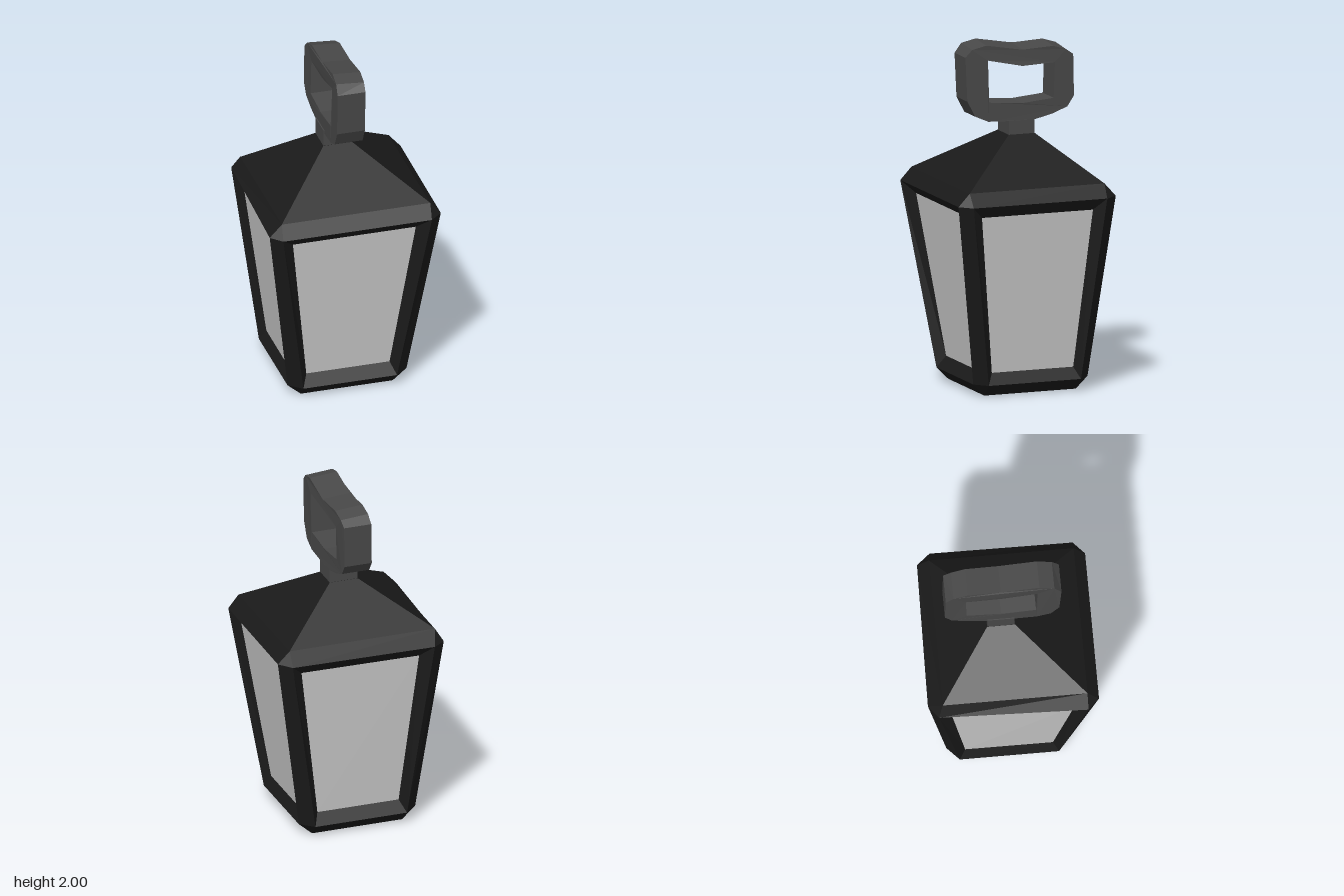
import * as THREE from 'three';

const black = new THREE.MeshStandardMaterial({ color: 0x1a1a1a, flatShading: true });
const iron = new THREE.MeshStandardMaterial({ color: 0x484848, flatShading: true });
const glass = new THREE.MeshStandardMaterial({ color: 0xcccccc, flatShading: true });

// Flat-shaded mesh from polygons with corners listed counter-clockwise
function polyMesh(name, polys, material) {
  const pos = [];
  const area = new THREE.Triangle();
  for (const p of polys) {
    for (let i = 1; i < p.length - 1; i++) {
      area.set(p[0], p[i], p[i + 1]);
      if (area.getArea() > 1e-7) for (const v of [p[0], p[i], p[i + 1]]) pos.push(v.x, v.y, v.z);
    }
  }
  const geo = new THREE.BufferGeometry();
  geo.setAttribute('position', new THREE.Float32BufferAttribute(pos, 3));
  geo.computeVertexNormals();
  const mesh = new THREE.Mesh(geo, material);
  mesh.name = name;
  return mesh;
}

const ring = (y, pts) => pts.map(([x, z]) => new THREE.Vector3(x, y, z));

// Square ring with every corner doubled, to match the chamfered rings
function square(y, x0, x1, z0, z1) {
  return ring(y, [[x0, z1], [x1, z1], [x1, z1], [x1, z0], [x1, z0], [x0, z0], [x0, z0], [x0, z1]]);
}

function strip(a, b) {
  return a.map((_, i) => {
    const j = (i + 1) % a.length;
    return [a[i], a[j], b[j], b[i]];
  });
}

function createModel() {
  const group = new THREE.Group();
  group.name = 'lantern';

  // Cross-sections from the foot to the top of the roof
  const foot = square(0, -0.28, 0.265, -0.3, 0.26);
  const low = ring(0.07, [[-0.285, 0.33], [0.27, 0.33], [0.345, 0.265], [0.345, -0.3],
    [0.27, -0.37], [-0.285, -0.37], [-0.36, -0.3], [-0.36, 0.265]]);
  const high = ring(1.135, [[-0.45, 0.485], [0.43, 0.485], [0.502, 0.42], [0.508, -0.395],
    [0.445, -0.472], [-0.41, -0.487], [-0.485, -0.43], [-0.512, 0.42]]);
  const eave = square(1.21, -0.44, 0.44, -0.405, 0.42);
  const top = square(1.46, -0.08, 0.09, -0.12, 0.04);

  group.add(polyMesh('base', [...strip(foot, low), [foot[0], foot[6], foot[4], foot[2]]], black));
  group.add(polyMesh('roof', [...strip(high, eave), ...strip(eave, top),
    [top[0], top[2], top[4], top[6]]], black));

  // Corner posts, recessed window frames and panes
  const posts = [];
  const frames = [];
  const panes = [];
  strip(low, high).forEach((quad, i) => {
    if (i % 2) { posts.push(quad); return; }
    const [a, b, c, d] = quad;
    const normal = new THREE.Vector3().subVectors(b, a).cross(new THREE.Vector3().subVectors(d, a)).normalize();
    const depth = i % 4 ? 0.042 : 0.056;
    // u across and v up the window opening
    const at = (u, v) => a.clone().lerp(b, u).lerp(d.clone().lerp(c, u), v).addScaledVector(normal, -depth);
    const pane = [at(0.07, 0.058), at(0.93, 0.058), at(0.925, 0.93), at(0.075, 0.93)];
    frames.push(...strip(quad, pane));
    panes.push(pane);
  });
  group.add(polyMesh('cornerPosts', posts, black));
  group.add(polyMesh('windowFrames', frames, black));
  group.add(polyMesh('windowPanes', panes, glass));

  // Neck joining roof and handle
  const neck = new THREE.Mesh(new THREE.BoxGeometry(0.168, 0.13, 0.156), iron);
  neck.position.set(0.005, 1.495, -0.04);
  neck.name = 'neck';
  group.add(neck);

  // Ring handle, outline given as z, y
  const points = (list) => list.map(([z, y]) => new THREE.Vector2(z, y));
  const outline = new THREE.Shape(points([[0.305, 1.925], [0.265, 1.98], [0.18, 2], [-0.04, 1.962],
    [-0.23, 1.97], [-0.31, 1.945], [-0.355, 1.9], [-0.36, 1.66], [-0.32, 1.6], [-0.23, 1.565],
    [-0.12, 1.54], [0.04, 1.54], [0.165, 1.545], [0.245, 1.58], [0.293, 1.67]]));
  outline.holes.push(new THREE.Path(points([[0.17, 1.9], [-0.04, 1.855], [-0.24, 1.862],
    [-0.235, 1.655], [-0.04, 1.638], [0.16, 1.655]])));
  const geo = new THREE.ExtrudeGeometry(outline, { depth: 0.165, bevelEnabled: false });
  geo.rotateY(-Math.PI / 2).translate(0.09, 0, 0);
  // Slight bow to the sides and a slanted top
  const p = geo.attributes.position;
  for (let i = 0; i < p.count; i++) {
    const z = p.getZ(i) + 0.03;
    const right = p.getX(i) > 0;
    p.setX(i, p.getX(i) + 0.013 * (1 - (z / 0.34) ** 2) * (p.getY(i) > 1.7 ? 1 : 0.2));
    if (right && p.getY(i) > 1.93) p.setY(i, p.getY(i) - 0.013);
  }
  geo.computeVertexNormals();
  const handle = new THREE.Mesh(geo, iron);
  handle.name = 'handle';
  group.add(handle);

  return group;
}

export { createModel };
